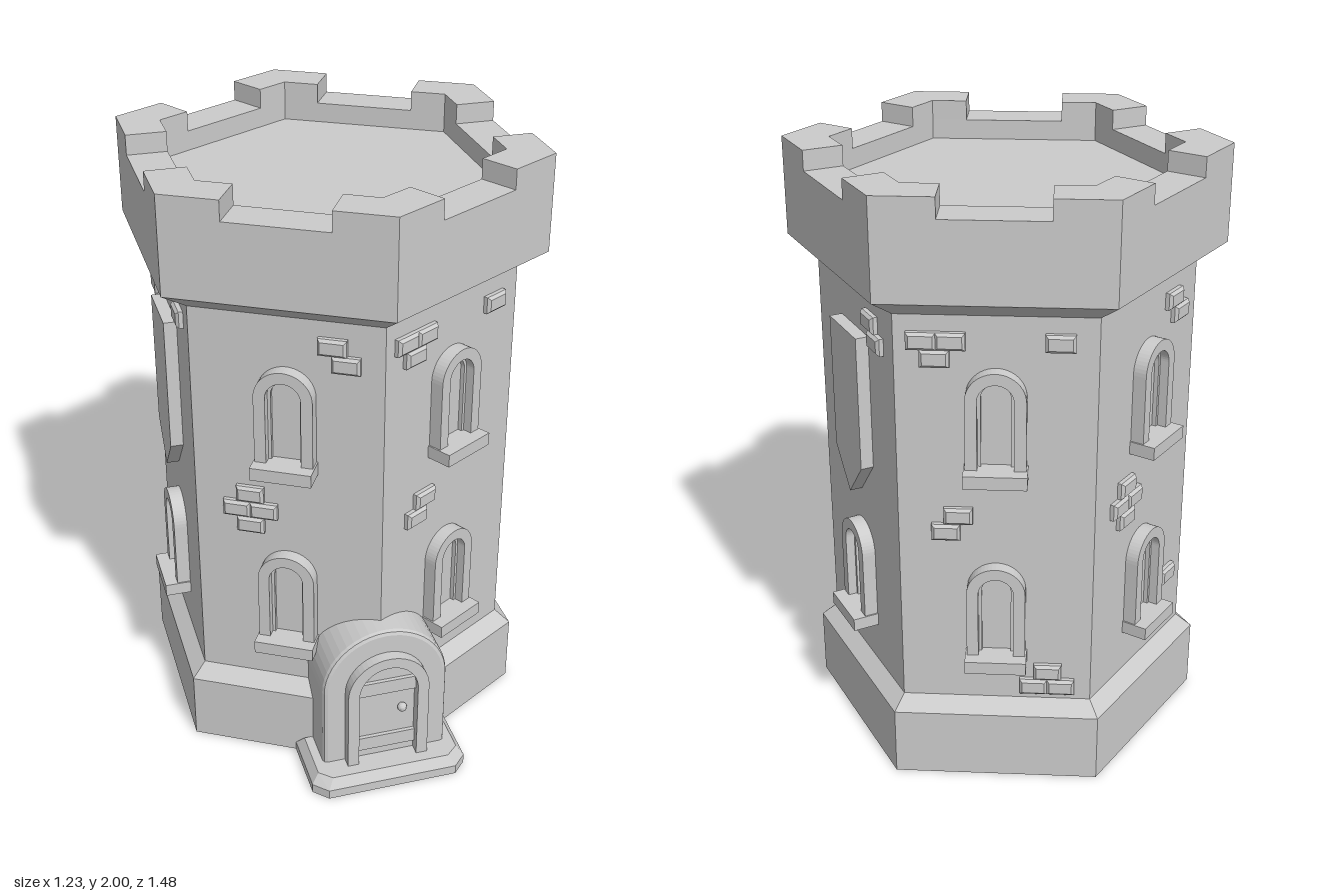
import * as THREE from 'three';

const CENTER_Z = -0.035;   // tower axis
const APOTHEM = 0.528;     // axis to wall face
const mat = new THREE.MeshStandardMaterial({ color: 0xcccccc, flatShading: true });

function add(parent, name, geometry, x = 0, y = 0, z = 0) {
  const mesh = new THREE.Mesh(geometry, mat);
  mesh.name = name;
  mesh.position.set(x, y, z);
  parent.add(mesh);
  return mesh;
}

const extrude = (shape, depth, options = {}) =>
  new THREE.ExtrudeGeometry(shape, { depth, bevelEnabled: false, curveSegments: 12, ...options });

const polygon = (points) => new THREE.Shape(points.map(([x, y]) => new THREE.Vector2(x, y)));

// Upright arch outline: straight sides up to the spring line, then a half ellipse
function arch(halfWidth, bottom, spring, top, Type = THREE.Shape) {
  const s = new Type();
  s.moveTo(-halfWidth, bottom);
  s.lineTo(halfWidth, bottom);
  s.lineTo(halfWidth, spring);
  s.absellipse(0, spring, halfWidth, top - spring, 0, Math.PI, false);
  s.closePath();
  return s;
}

function archRing(outer, inner, depth, options) {
  const s = arch(...outer);
  s.holes.push(arch(...inner, THREE.Path));
  return extrude(s, depth, options);
}

// Arched window with frame, inner lip and sill; y is the underside of the sill
function addWindow(face, y) {
  const w = new THREE.Group();
  w.name = 'window';
  w.position.y = y;
  add(w, 'windowFrame', archRing([0.093, 0.02, 0.269, 0.362], [0.056, 0.04, 0.269, 0.325], 0.055), 0, 0, -0.01);
  add(w, 'windowLip', archRing([0.058, 0.03, 0.269, 0.327], [0.046, 0.04, 0.269, 0.315], 0.025), 0, 0, -0.01);
  add(w, 'windowSill', new THREE.BoxGeometry(0.196, 0.043, 0.097), 0, 0.0215, 0.0385);
  face.add(w);
}

// Raised brick with bevelled rim
const brickGeometry = extrude(
  polygon([[-0.036, -0.019], [0.036, -0.019], [0.036, 0.019], [-0.036, 0.019]]), 0.018,
  { bevelEnabled: true, bevelThickness: 0.009, bevelSize: 0.009, bevelSegments: 1 });

// Brick clusters as [along the wall, height]
const topTrio = [[-0.222, 1.54], [-0.135, 1.54], [-0.183, 1.485], [0.19, 1.54]];
const topPair = [[0.145, 1.54], [0.187, 1.485]];
const midPair = [[-0.118, 0.957], [-0.157, 0.9]];
const midCross = [[-0.122, 0.99], [-0.166, 0.933], [-0.078, 0.933], [-0.122, 0.877]];
const lowTrio = [[0.165, 0.387], [0.12, 0.331], [0.208, 0.331]];

const faces = [
  { angle: 30, bricks: [...topTrio, ...midPair] },
  { angle: -30, bricks: [...topPair, ...midCross] },
  { angle: 150, bricks: [...topTrio, ...midPair, ...lowTrio] },
  { angle: -150, bricks: [...topPair, ...midCross, [0.19, 0.51]] },
  { angle: 90, banner: true, bricks: topPair },
  { angle: -90, banner: true, bricks: topTrio },
];

function addFace(tower, { angle, banner, bricks }) {
  const a = THREE.MathUtils.degToRad(angle);
  const face = new THREE.Group();
  face.name = 'wallFace';
  face.rotation.y = a;
  face.position.set(Math.sin(a) * APOTHEM, 0, Math.cos(a) * APOTHEM);
  addWindow(face, 0.425);
  if (banner) {
    const cloth = polygon([[-0.109, 1.475], [-0.109, 1.027], [0, 0.9], [0.109, 1.027], [0.109, 1.475]]);
    add(face, 'banner', extrude(cloth, 0.05), 0, 0, -0.008);
  } else {
    addWindow(face, 1.092);
  }
  for (const [u, y] of bricks) add(face, 'brick', brickGeometry, u, y, -0.004);
  tower.add(face);
}

// One battlement corner piece, drawn in plan with its corner pointing forward
function merlonGeometry() {
  const c = Math.cos(Math.PI / 6), len = 0.19, thick = 0.13;
  const x1 = len * c, z1 = 0.705 - len * 0.5;
  const x2 = x1 - thick * 0.5, z2 = z1 - thick * c;
  const plan = polygon([[0, 0.705], [-x1, z1], [-x2, z2], [0, 0.555], [x2, z2], [x1, z1]]);
  return extrude(plan, 0.065).rotateX(Math.PI / 2);
}

// Door step: chamfered slab whose top is drawn in
function stepGeometry() {
  const plan = polygon([[-0.265, -0.13], [0.265, -0.13], [0.265, 0.085], [0.22, 0.13], [-0.22, 0.13], [-0.265, 0.085]]);
  const slab = extrude(plan, 0.065, { steps: 2 }).rotateX(Math.PI / 2);
  const p = slab.attributes.position;
  for (let i = 0; i < p.count; i++) {
    if (p.getY(i) > -0.01) p.setXYZ(i, p.getX(i) * 0.91, p.getY(i), p.getZ(i) * 0.82);
  }
  return slab;
}

function buildDoor() {
  const door = new THREE.Group();
  door.name = 'doorway';
  add(door, 'doorStep', stepGeometry(), 0, 0.065, 0.61);
  // Porch block with bevelled front edge
  add(door, 'porch', archRing([0.197, 0.02, 0.352, 0.55], [0.13, 0.03, 0.345, 0.475], 0.21,
    { bevelEnabled: true, bevelThickness: 0.015, bevelSize: 0.015, bevelSegments: 2 }), 0, 0, 0.415);
  add(door, 'doorFrame', archRing([0.138, 0.03, 0.347, 0.485], [0.1, 0.04, 0.345, 0.448], 0.09), 0, 0, 0.588);
  add(door, 'doorPanel', extrude(arch(0.105, 0.03, 0.345, 0.45), 0.05), 0, 0, 0.59);
  for (const y of [0.12, 0.345]) {
    add(door, 'doorBand', new THREE.BoxGeometry(0.2, 0.05, 0.02), 0, y + 0.005, 0.643);
  }
  add(door, 'doorKnob', new THREE.SphereGeometry(0.016, 12, 8), 0.055, 0.255, 0.652);
  return door;
}

export function createModel() {
  const model = new THREE.Group();
  model.name = 'castleTower';
  const tower = new THREE.Group();
  tower.name = 'tower';
  tower.position.z = CENTER_Z;
  model.add(tower);

  // Six-sided plinth, wall, flared parapet and roof floor
  const profile = [[0, 0], [0.665, 0], [0.665, 0.235], [0.61, 0.28], [0.61, 1.62], [0.705, 1.68],
    [0.705, 1.935], [0.555, 1.935], [0.555, 1.87], [0, 1.87]].map(([x, y]) => new THREE.Vector2(x, y));
  add(tower, 'towerBody', new THREE.LatheGeometry(profile, 6));

  const merlon = merlonGeometry();
  for (let i = 0; i < 6; i++) {
    add(tower, 'merlon', merlon, 0, 2, 0).rotation.y = i * Math.PI / 3;
  }

  faces.forEach((f) => addFace(tower, f));
  model.add(buildDoor());
  return model;
}
